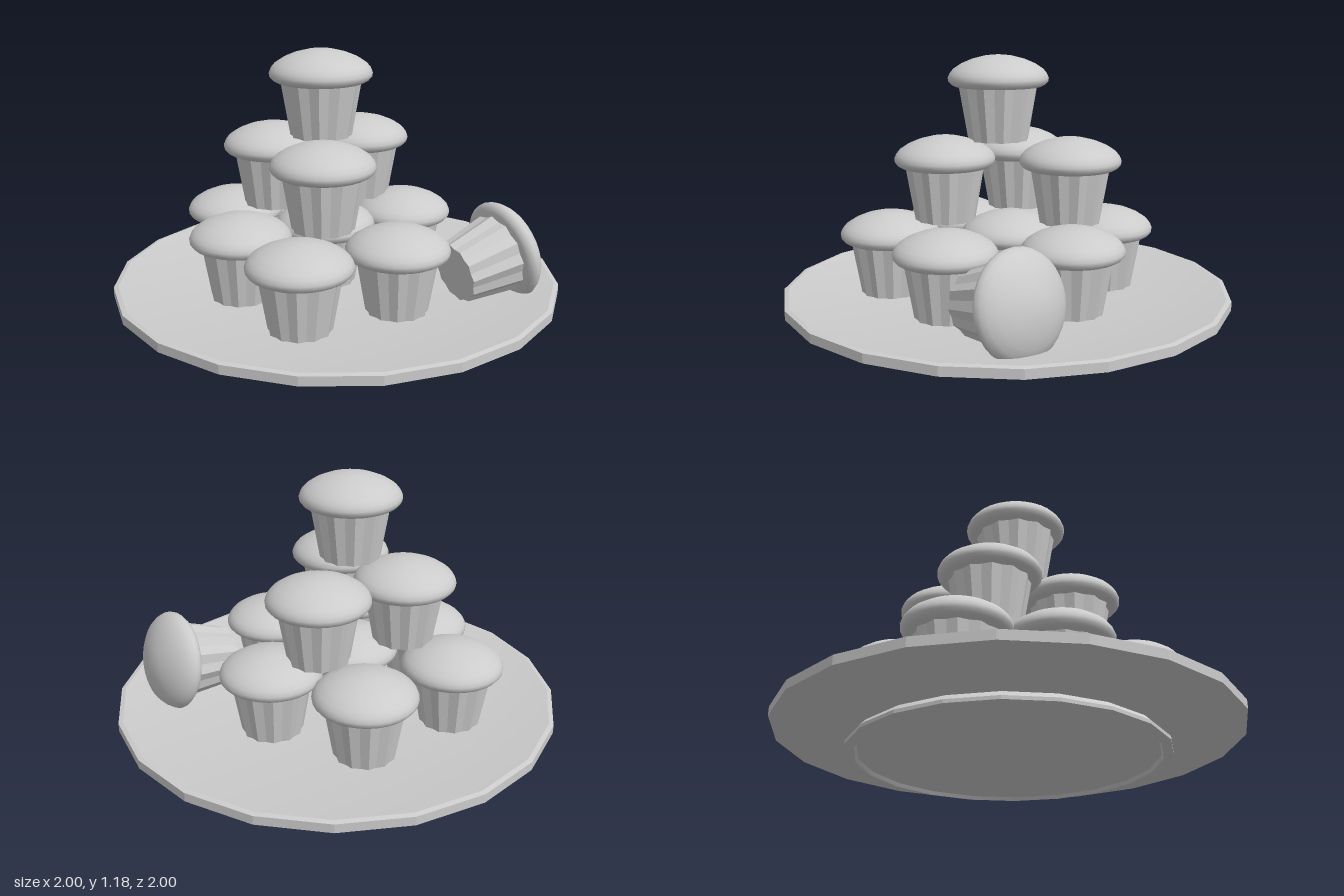
import * as THREE from 'three';
import { toCreasedNormals } from 'three/addons/utils/BufferGeometryUtils.js';

const PLEATS = 12;
const material = new THREE.MeshStandardMaterial({ color: 0xcccccc });
const paperMaterial = new THREE.MeshStandardMaterial({ color: 0xcccccc, flatShading: true });

function lathe(points, segments, crease) {
  const profile = points.map(([r, y]) => new THREE.Vector2(r, y));
  return toCreasedNormals(new THREE.LatheGeometry(profile, segments), crease);
}

// Tapered paper cup whose alternate corners are pulled in to form pleats
function pleatedCup() {
  const sides = PLEATS * 2;
  const geometry = new THREE.CylinderGeometry(0.178, 0.135, 0.25, sides, 1);
  geometry.translate(0, 0.125, 0);
  const p = geometry.attributes.position;
  for (let i = 0; i < p.count; i++) {
    const corner = Math.round(Math.atan2(p.getX(i), p.getZ(i)) / (2 * Math.PI) * sides);
    const k = corner % 2 === 0 ? 1 : 0.93;
    p.setX(i, p.getX(i) * k);
    p.setZ(i, p.getZ(i) * k);
  }
  geometry.computeVertexNormals();
  return geometry;
}

export function createModel() {
  const model = new THREE.Group();
  model.name = 'plateOfCupcakes';

  // Shallow plate with a raised rim and a recessed foot ring
  const plate = new THREE.Mesh(lathe([
    [0, 0.015], [0.64, 0.015], [0.65, 0], [0.69, 0.01], [0.69, 0.025], [0.665, 0.05],
    [0.7, 0.052], [1, 0.1], [1, 0.14], [0.98, 0.145], [0.65, 0.095], [0, 0.09],
  ], 20, 0.3), material);
  plate.name = 'plate';
  model.add(plate);

  // Shared cupcake parts
  const cupGeometry = pleatedCup();
  const capGeometry = lathe([
    [0, 0.24], [0.195, 0.24], [0.21, 0.248], [0.222, 0.262], [0.224, 0.277], [0.216, 0.296],
    [0.2, 0.315], [0.165, 0.338], [0.118, 0.358], [0.06, 0.373], [0, 0.379],
  ], 32, 0.7);

  function addCupcake(name, x, y, z) {
    const cupcake = new THREE.Group();
    cupcake.name = name;
    const cup = new THREE.Mesh(cupGeometry, paperMaterial);
    cup.name = 'paperCup';
    const cap = new THREE.Mesh(capGeometry, material);
    cap.name = 'domedTop';
    cupcake.add(cup, cap);
    cupcake.position.set(x, y, z);
    model.add(cupcake);
    return cupcake;
  }

  // Three stacked tiers: height, then x and z of each cupcake
  const tiers = [
    ['bottomCupcake', 0.1, [[-0.305, -0.445], [0.17, -0.445], [-0.445, -0.05], [-0.03, -0.05],
      [0.38, -0.05], [-0.37, 0.38], [0.08, 0.4]]],
    ['middleCupcake', 0.45, [[-0.2, -0.23], [0.22, -0.18], [-0.175, 0.21]]],
    ['topCupcake', 0.8, [[-0.07, -0.01]]],
  ];
  for (const [name, y, spots] of tiers) {
    for (const [x, z] of spots) addCupcake(name, x, y, z);
  }

  // Fallen cupcake lying on its side
  const fallen = addCupcake('fallenCupcake', 0.342, 0.235, 0.45);
  fallen.quaternion.setFromUnitVectors(
    new THREE.Vector3(0, 1, 0), new THREE.Vector3(0.978, 0.208, -0.04).normalize());

  return model;
}
